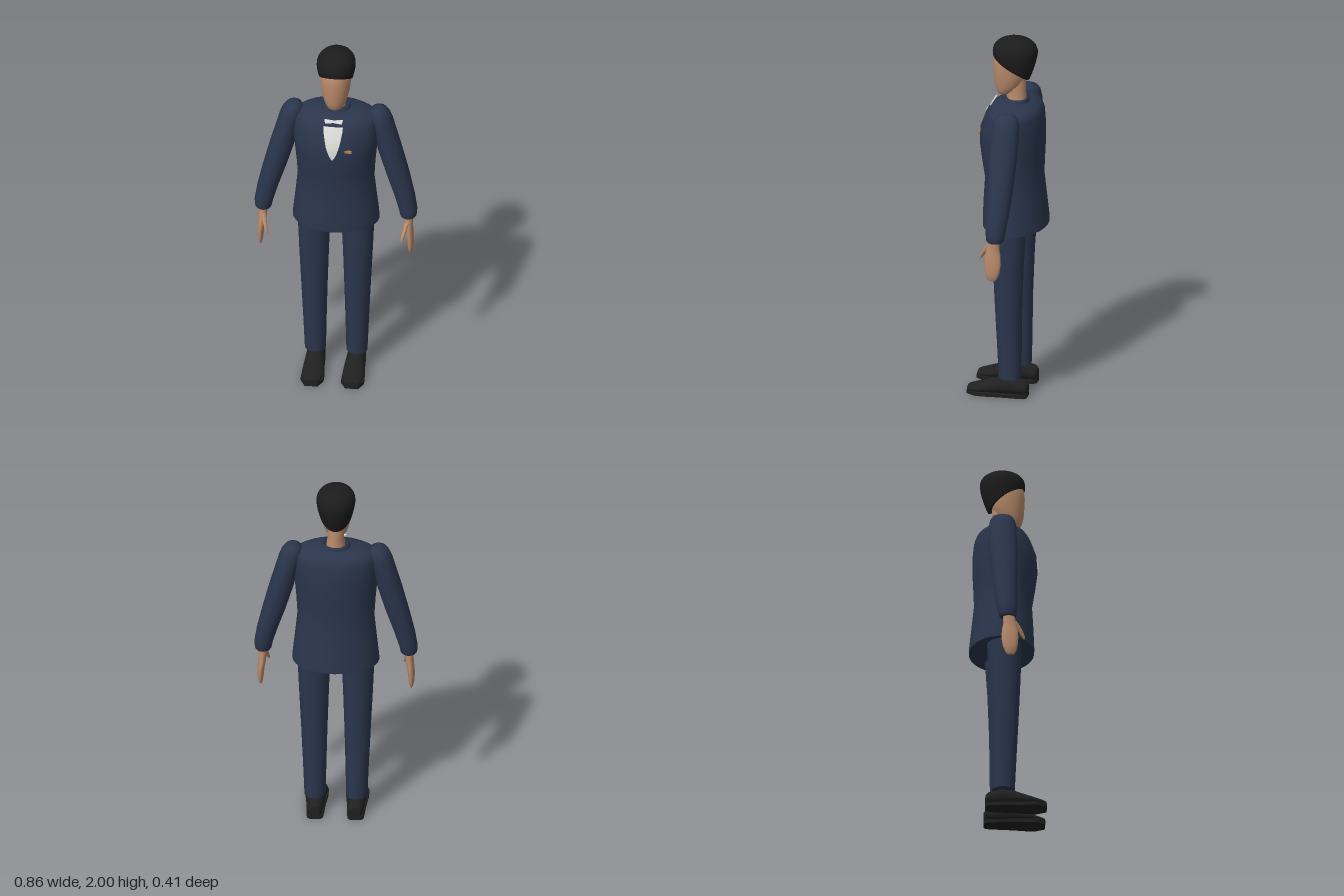
import * as THREE from 'three';

const SEG = 28;
const mat = (name, color, extra = {}) => Object.assign(new THREE.MeshStandardMaterial({ color, ...extra }), { name });

// Surface through rings; a ring is [y, cx, cz, rx, rz] or a function of the angle. Ends may be capped flat.
function loft(rings, caps = true) {
  const pos = [], idx = [];
  const point = (r, i) => {
    const a = (i / SEG) * Math.PI * 2;
    if (typeof r === 'function') return r(a);
    return [r[1] + r[3] * Math.cos(a), r[0], r[2] + r[4] * Math.sin(a)];
  };
  rings.forEach((r, k) => {
    for (let i = 0; i < SEG; i++) {
      pos.push(...point(r, i));
      if (k === rings.length - 1) continue;
      const a = k * SEG + i, b = k * SEG + (i + 1) % SEG;
      idx.push(a, a + SEG, b, b, a + SEG, b + SEG);
    }
  });
  if (caps) [rings[0], rings[rings.length - 1]].forEach((r, top) => {
    const base = pos.length / 3, c = [0, 0, 0];
    for (let i = 0; i < SEG; i++) {
      const p = point(r, i);
      pos.push(...p);
      p.forEach((v, j) => { c[j] += v / SEG; });
    }
    pos.push(...c);
    for (let i = 0; i < SEG; i++) {
      const a = base + i, b = base + (i + 1) % SEG;
      idx.push(base + SEG, top ? b : a, top ? a : b);
    }
  });
  const g = new THREE.BufferGeometry();
  g.setAttribute('position', new THREE.Float32BufferAttribute(pos, 3));
  g.setIndex(idx);
  g.computeVertexNormals();
  return g;
}

const JACKET = [
  [0.95, 0, -0.03, 0.23, 0.172], [0.98, 0, -0.029, 0.228, 0.172], [1.1, 0, -0.025, 0.215, 0.163],
  [1.22, 0, -0.022, 0.203, 0.153], [1.32, 0, -0.016, 0.209, 0.163], [1.42, 0, -0.012, 0.218, 0.172],
  [1.5, 0, -0.014, 0.225, 0.169], [1.58, 0, -0.025, 0.225, 0.15], [1.61, 0, -0.028, 0.212, 0.135],
  [1.627, 0, -0.03, 0.185, 0.115], [1.638, 0, -0.033, 0.13, 0.088], [1.648, 0, -0.035, 0.07, 0.063],
];

// Depth of the jacket front at a given x and y
function frontZ(x, y) {
  let k = 0;
  while (k < JACKET.length - 2 && JACKET[k + 1][0] < y) k++;
  const [a, b] = [JACKET[k], JACKET[k + 1]];
  const [, , cz, rx, rz] = a.map((v, j) => THREE.MathUtils.lerp(v, b[j], (y - a[0]) / (b[0] - a[0])));
  return cz + rz * Math.sqrt(Math.max(0, 1 - (x / rx) ** 2));
}

// Thin sheet laid over the jacket front; rows are [y, half width]
function frontPanel(rows, lift) {
  const g = new THREE.PlaneGeometry(1, 1, 6, rows.length - 1);
  const p = g.attributes.position;
  for (let i = 0; i < p.count; i++) {
    const [y, w] = rows[Math.floor(i / 7)];
    const x = p.getX(i) * 2 * w;
    p.setXYZ(i, x, y, frontZ(x, y) + lift);
  }
  g.computeVertexNormals();
  return g;
}

export function createModel() {
  const model = new THREE.Group();
  model.name = 'suitedMan';
  const navy = mat('navySuit', 0x2b364d);
  const skin = mat('skin', 0xb98b6b);
  const hairBlack = mat('hairBlack', 0x1c1c1c);
  const shoeBlack = mat('shoeBlack', 0x202020);
  const white = mat('shirtWhite', 0xdcdcd6, { side: THREE.DoubleSide });
  const copper = mat('copperPin', 0xb47c50);
  const add = (name, geometry, material, parent = model) => {
    const m = new THREE.Mesh(geometry, material);
    m.name = name;
    parent.add(m);
    return m;
  };

  // Jacket body and standing collar
  add('jacket', loft(JACKET), navy);
  add('collar', loft([
    [1.625, 0, -0.032, 0.078, 0.07], [1.65, 0, -0.034, 0.077, 0.068], [1.664, 0, -0.036, 0.07, 0.062],
    [1.662, 0, -0.036, 0.058, 0.054], [1.64, 0, -0.036, 0.054, 0.052],
  ], false), navy);

  // Shirt front, neck bow and chest pin
  add('shirtFront', frontPanel([
    [1.606, 0.052], [1.58, 0.05], [1.54, 0.043], [1.5, 0.034], [1.46, 0.021], [1.44, 0.011], [1.425, 0.001],
  ], 0.005), white);
  const bow = new THREE.Shape([
    [-0.05, 0.013], [0, 0.008], [0.05, 0.013], [0.044, -0.012], [0, -0.006], [-0.044, -0.012],
  ].map(([x, y]) => new THREE.Vector2(x, y)));
  const bowTie = add('neckBow', new THREE.ExtrudeGeometry(bow, { depth: 0.008, bevelEnabled: false }), white);
  bowTie.position.set(0, 1.624, 0.091);
  bowTie.rotation.x = -0.5;
  add('chestPin', new THREE.BoxGeometry(0.038, 0.014, 0.009), copper).position.set(0.083, 1.475, frontZ(0.083, 1.475) + 0.003);

  // Neck, head and hair
  add('neck', loft([
    [1.62, 0, -0.034, 0.05, 0.052], [1.67, 0, -0.032, 0.048, 0.053], [1.7, 0, -0.028, 0.043, 0.054], [1.79, 0, -0.03, 0.046, 0.05],
  ]), skin);
  add('head', loft([
    [1.676, 0, 0.035, 0.025, 0.025], [1.684, 0, 0.031, 0.04, 0.038], [1.705, 0, 0.022, 0.054, 0.055],
    [1.74, 0, 0.01, 0.066, 0.076], [1.79, 0, 0.003, 0.077, 0.087], [1.85, 0, 0.001, 0.083, 0.092],
    [1.9, 0, -0.004, 0.084, 0.091], [1.94, 0, -0.02, 0.075, 0.08], [1.965, 0, -0.025, 0.05, 0.05],
  ]), skin);
  const hairRings = Array.from({ length: 13 }, (_, k) => a => {
    const hairline = 1.845 + 0.6 * (-0.02 + 0.108 * Math.sin(a));
    const y = hairline + (2 - hairline) * Math.sin((k / 12) * Math.PI / 2);
    const s = y > 1.92
      ? Math.pow(Math.max(0.0001, 1 - Math.pow((y - 1.92) / 0.08, 2.2)), 1 / 2.2)
      : 1 - 0.32 * Math.pow((1.92 - y) / 0.14, 1.5);
    return [0.103 * s * Math.cos(a), y, -0.025 + 0.12 * s * Math.sin(a)];
  });
  add('hair', loft(hairRings), hairBlack);

  for (const s of [1, -1]) {
    const side = s > 0 ? 'left' : 'right';
    const limb = rings => loft(rings.map(([y, cx, ...rest]) => [y, cx * s, ...rest]));

    // Sleeve and hand
    const arm = new THREE.Group();
    arm.name = side + 'Arm';
    model.add(arm);
    add('sleeve', limb([
      [0.985, 0.384, -0.014, 0.038, 0.04], [0.995, 0.384, -0.014, 0.044, 0.047], [1.03, 0.382, -0.016, 0.049, 0.052],
      [1.12, 0.362, -0.022, 0.055, 0.059], [1.25, 0.326, -0.028, 0.062, 0.066], [1.4, 0.285, -0.03, 0.065, 0.074],
      [1.5, 0.261, -0.034, 0.061, 0.074], [1.58, 0.238, -0.035, 0.062, 0.072], [1.615, 0.23, -0.035, 0.056, 0.066],
      [1.638, 0.226, -0.035, 0.043, 0.052], [1.65, 0.224, -0.035, 0.02, 0.026],
    ]), navy, arm);
    add('hand', limb([
      [0.765, 0.396, 0, 0.005, 0.018], [0.78, 0.397, 0, 0.011, 0.029], [0.81, 0.398, -0.002, 0.016, 0.039],
      [0.86, 0.396, -0.004, 0.019, 0.045], [0.91, 0.39, -0.003, 0.021, 0.042], [0.95, 0.386, -0.004, 0.022, 0.034],
      [1.0, 0.384, -0.01, 0.026, 0.03],
    ]), skin, arm);
    add('thumb', limb([
      [0.872, 0.358, 0.073, 0.004, 0.005], [0.885, 0.36, 0.067, 0.008, 0.01],
      [0.92, 0.369, 0.048, 0.011, 0.014], [0.96, 0.38, 0.02, 0.012, 0.015],
    ]), skin, arm);

    // Trouser leg
    const leg = new THREE.Group();
    leg.name = side + 'Leg';
    model.add(leg);
    add('trouserLeg', limb([
      [0.105, 0.11, -0.025, 0.056, 0.06], [0.3, 0.112, -0.022, 0.062, 0.066], [0.5, 0.114, -0.018, 0.069, 0.072],
      [0.75, 0.116, -0.017, 0.079, 0.082], [0.92, 0.116, -0.02, 0.086, 0.09], [1.0, 0.115, -0.022, 0.087, 0.092],
    ]), navy, leg);

    // Shoe upper lofted from heel to toe, on a flat sole
    const upper = loft([
      [-0.12, 0, -0.044, 0.026, 0.03], [-0.105, 0, -0.05, 0.042, 0.04], [-0.04, 0, -0.058, 0.048, 0.05],
      [0.02, 0, -0.056, 0.05, 0.049], [0.08, 0, -0.045, 0.055, 0.038], [0.14, 0, -0.034, 0.058, 0.026],
      [0.185, 0, -0.027, 0.045, 0.019], [0.202, 0, -0.025, 0.034, 0.014],
    ]).rotateX(Math.PI / 2);
    add('shoeUpper', upper, shoeBlack, leg).position.x = 0.107 * s;
    const half = [[0.034, 0.204], [0.06, 0.155], [0.06, 0.11], [0.051, 0.03], [0.046, -0.06], [0.042, -0.105], [0.028, -0.12]];
    const outline = [...half, ...half.map(([x, z]) => [-x, z]).reverse()].map(p => new THREE.Vector2(...p));
    const sole = new THREE.ExtrudeGeometry(new THREE.Shape(outline), { depth: 0.02, bevelEnabled: false }).rotateX(Math.PI / 2);
    add('shoeSole', sole, shoeBlack, leg).position.set(0.107 * s, 0.02, 0);
  }
  return model;
}
